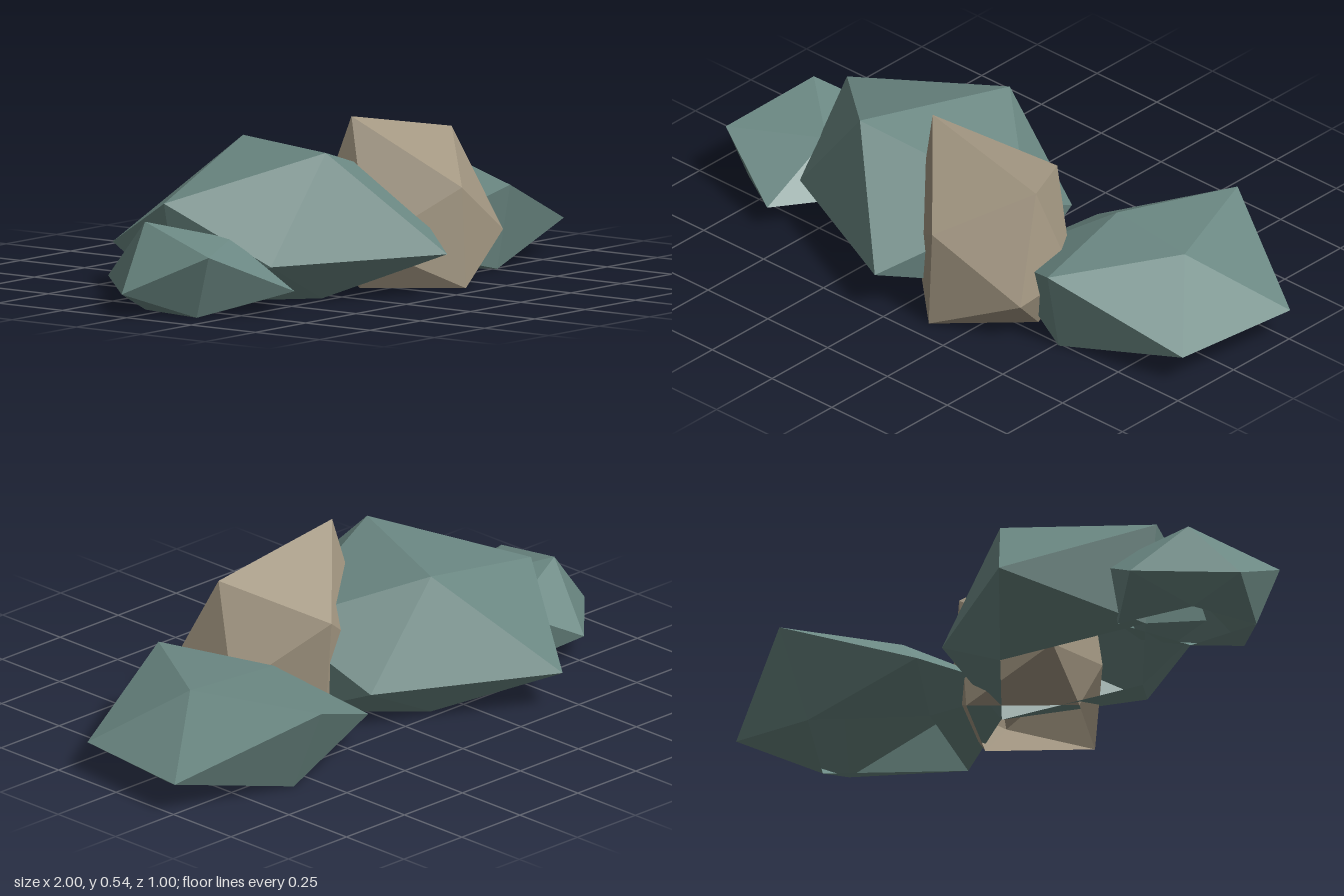
import * as THREE from 'three';
import { ConvexGeometry } from 'three/addons/geometries/ConvexGeometry.js';

const mat = (name, color) => new THREE.MeshStandardMaterial({
  name, color, flatShading: true, side: THREE.DoubleSide,
});

// Faceted boulder: the hull of a dozen corners, left open where it rests on the ground
function rock(name, material, corners) {
  const hull = new ConvexGeometry(corners.map((c) => new THREE.Vector3(...c)));
  const p = hull.attributes.position;
  const kept = [];
  for (let i = 0; i < p.count; i += 3) {
    if (Math.max(p.getY(i), p.getY(i + 1), p.getY(i + 2)) < 0.001) continue;
    for (let k = i; k < i + 3; k++) kept.push(p.getX(k), p.getY(k), p.getZ(k));
  }
  const geometry = new THREE.BufferGeometry();
  geometry.setAttribute('position', new THREE.Float32BufferAttribute(kept, 3));
  geometry.computeVertexNormals();
  const mesh = new THREE.Mesh(geometry, material);
  mesh.name = name;
  return mesh;
}

export function createModel() {
  const group = new THREE.Group();
  group.name = 'rockCluster';
  const slate = mat('slate green', 0x6b8883);
  const sand = mat('sandstone', 0xa39782);

  // Each rock lists its ridge, shoulders, waist and foot corners
  group.add(rock('largeRock', slate, [
    [-0.14, 0.447, -0.22], [-0.33, 0.455, 0.25],
    [-0.7, 0.31, -0.09], [0.22, 0.31, 0.09],
    [-0.59, 0.13, 0.24], [-0.04, 0.13, 0.495], [-0.43, 0.125, -0.5], [0.12, 0.13, -0.22],
    [-0.64, 0, -0.08], [0.17, 0, 0.08], [-0.31, 0, 0.22], [-0.14, 0, -0.22],
  ]));
  group.add(rock('wideRock', slate, [
    [0.74, 0.28, -0.06], [0.42, 0.28, -0.1],
    [0.51, 0.265, 0.31], [0.58, 0.275, -0.47],
    [1, 0.1, -0.255], [0.95, 0.1, 0.175], [0.18, 0.1, -0.27], [0.13, 0.1, 0.12],
    [0.83, 0, -0.05], [0.3, 0, -0.1], [0.51, 0, 0.26], [0.58, 0, -0.35],
  ]));
  group.add(rock('smallRock', slate, [
    [-0.82, 0.27, -0.07], [-0.61, 0.21, 0.1],
    [-0.9, 0.195, 0.24], [-0.54, 0.195, -0.17],
    [-1, 0.07, -0.02], [-0.62, 0.07, 0.355], [-0.76, 0.08, -0.26], [-0.45, 0.06, 0.08],
    [-0.87, 0, 0.17], [-0.58, 0, -0.14], [-0.83, 0, -0.06], [-0.62, 0, 0.13],
  ]));
  group.add(rock('tallRock', sand, [
    [-0.1, 0.535, 0.17], [0.36, 0.455, 0.2],
    [0.13, 0.31, 0.42], [0.17, 0.345, -0.1],
    [0.43, 0.14, 0.345], [0.41, 0.14, 0.09], [-0.11, 0.14, 0.24], [-0.12, 0.14, 0.02],
    [0.13, 0, 0.435], [0.17, 0, -0.07], [0.37, 0, 0.2], [-0.07, 0, 0.18],
  ]));
  return group;
}
